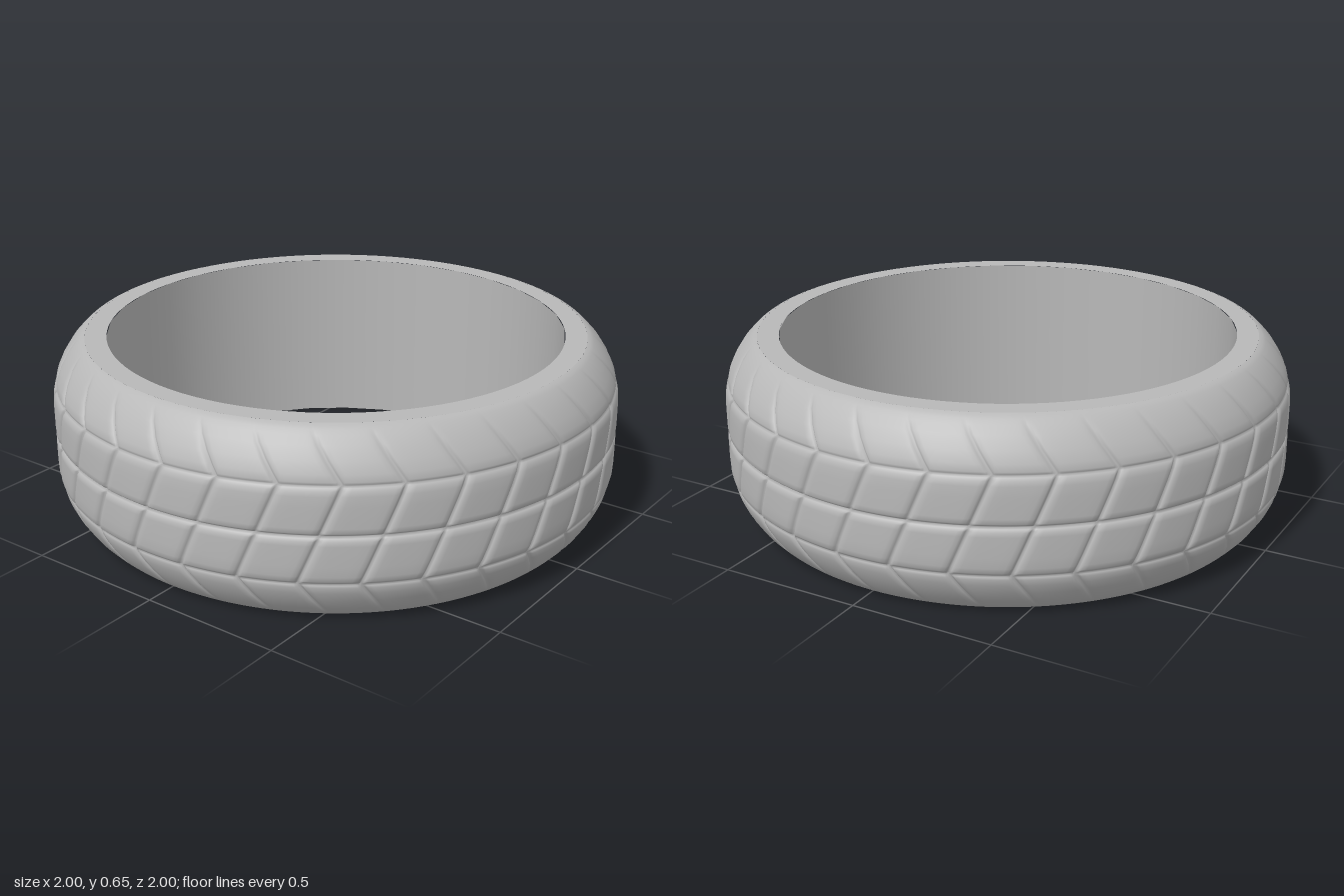
import * as THREE from 'three';

const BLOCKS = 32, HEIGHT = 0.65, MID = HEIGHT / 2, INNER = 0.805, RIM = 0.88;

// Outer profile: [distance from the mid-plane, radius]
const PROFILE = [[0, 1], [0.1, 1], [0.14, 0.998], [0.165, 0.992], [0.2, 0.982], [0.235, 0.966],
  [0.275, 0.94], [0.3, 0.917], [0.313, 0.903], [0.321, 0.892], [0.325, RIM]];
// Rows and columns crowd together around the grooves
const ROWS = [0, 0.006, 0.014, 0.03, 0.06, 0.1, 0.135, 0.152, 0.16, 0.165, 0.17, 0.178, 0.2,
  0.235, 0.275, 0.3, 0.313, 0.321, 0.325];
const COLS = [0, 0.035, 0.08, 0.16, 0.3, 0.5, 0.7, 0.84, 0.92, 0.965];

function baseRadius(d) {
  const i = Math.max(1, PROFILE.findIndex(p => p[0] >= d - 1e-6));
  const [a, ra] = PROFILE[i - 1], [b, rb] = PROFILE[i];
  return ra + (rb - ra) * (d - a) / (b - a);
}

// Chevron path of the cross grooves, as an angle
function grooveAngle(t) {
  const d = Math.abs(t);
  return Math.sign(t) * (d < 0.165 ? 0.07 * d / 0.165 : 0.07 - 0.11 * (d - 0.165) / 0.16);
}

const notch = (dist, width) => Math.pow(Math.max(0, 1 - dist / width), 1.5);

function treadGeometry() {
  const rows = [...ROWS.slice(1).reverse().map(d => -d), ...ROWS];
  const n = BLOCKS * COLS.length, pos = [], index = [];
  rows.forEach((t, r) => {
    const d = Math.abs(t);
    const ring = Math.max(0.016 * notch(d, 0.016), 0.009 * notch(Math.abs(d - 0.165), 0.016));
    const fade = THREE.MathUtils.clamp((0.31 - d) / 0.1, 0, 1);
    for (let c = 0; c < n; c++) {
      const u = COLS[c % COLS.length], k = Math.floor(c / COLS.length);
      const cross = 0.013 * fade * notch(Math.min(u, 1 - u), 0.1);
      const a = (k + u) * 2 * Math.PI / BLOCKS + grooveAngle(t);
      const radius = baseRadius(d) - Math.max(ring, cross);
      pos.push(Math.sin(a) * radius, MID + t, Math.cos(a) * radius);
      if (r < rows.length - 1) {
        const p = r * n + c, q = r * n + (c + 1) % n;
        index.push(p, q, q + n, p, q + n, p + n);
      }
    }
  });
  const g = new THREE.BufferGeometry();
  g.setAttribute('position', new THREE.Float32BufferAttribute(pos, 3));
  g.setIndex(index);
  g.computeVertexNormals();
  return g;
}

export function createModel() {
  const tire = new THREE.Group();
  tire.name = 'tire';
  const rubber = new THREE.MeshStandardMaterial({ color: 0xb8b8b8 });
  rubber.name = 'grey rubber';

  const add = (name, geometry) => {
    const mesh = new THREE.Mesh(geometry, rubber);
    mesh.name = name;
    tire.add(mesh);
    return mesh;
  };

  // Grooved outer surface
  add('tread', treadGeometry());

  // Inner wall, facing the axis
  add('innerWall', new THREE.LatheGeometry(
    [new THREE.Vector2(INNER, HEIGHT), new THREE.Vector2(INNER, 0)], BLOCKS));

  // Flat rims above and below
  for (const side of [1, -1]) {
    const rim = add(side > 0 ? 'topRim' : 'bottomRim', new THREE.RingGeometry(INNER, RIM, 96));
    rim.rotation.x = -side * Math.PI / 2;
    rim.position.y = side > 0 ? HEIGHT : 0;
  }
  return tire;
}
